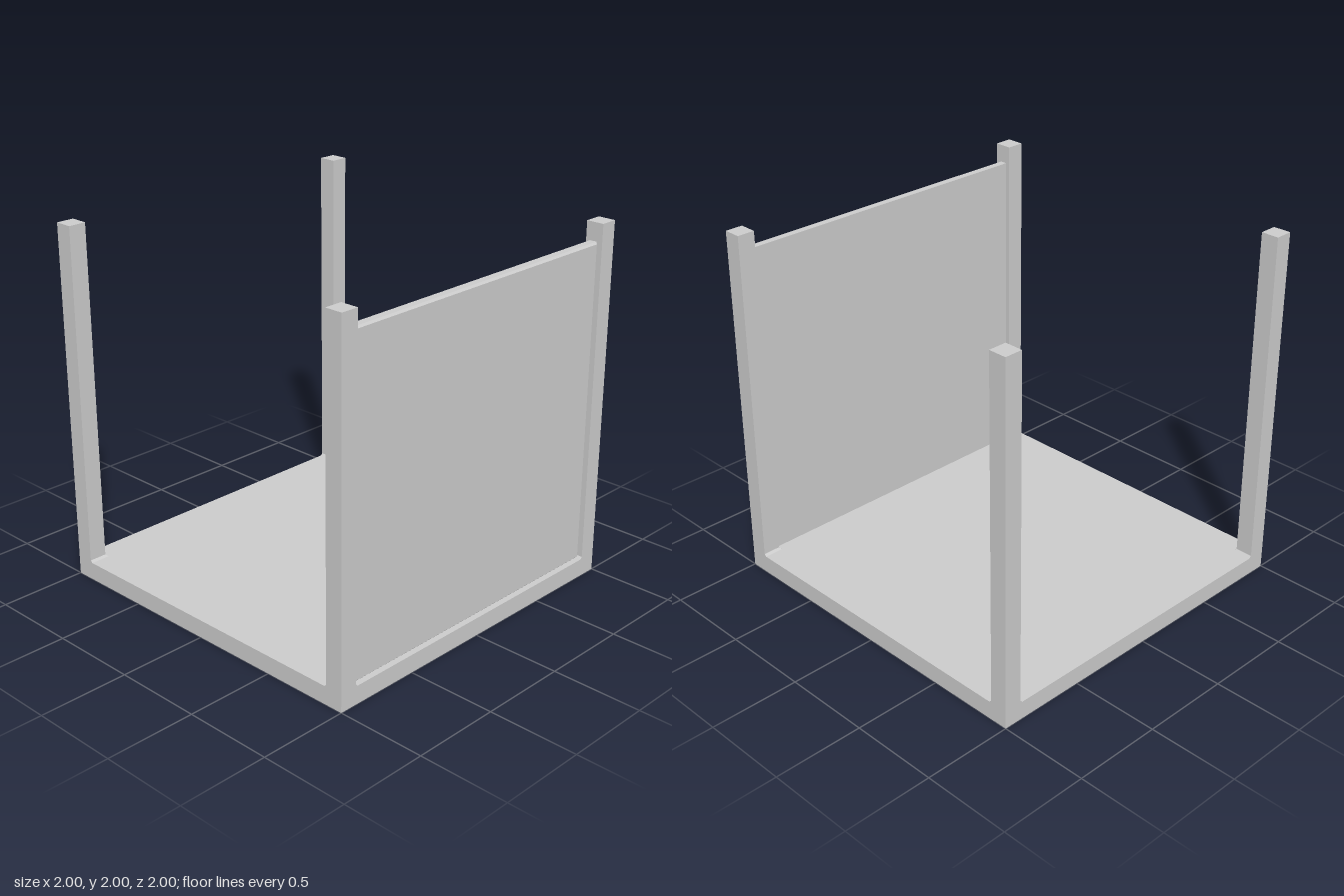
import * as THREE from 'three';

const material = new THREE.MeshStandardMaterial({ color: 0xcccccc, flatShading: true });

function addMesh(group, name, geometry) {
  geometry.computeVertexNormals();
  const mesh = new THREE.Mesh(geometry, material);
  mesh.name = name;
  group.add(mesh);
  return mesh;
}

// Square corner post whose inner faces flare slightly where they meet the floor
function postGeometry(sx, sz) {
  const geo = new THREE.BoxGeometry(0.1, 1.9, 0.1, 1, 2, 1);
  const p = geo.attributes.position;
  for (let i = 0; i < p.count; i++) {
    const y = p.getY(i);
    if (Math.abs(y) < 0.01) p.setY(i, -0.938);
    if (y < -0.9) {
      if (p.getX(i) * sx < 0) p.setX(i, -sx * 0.062);
      if (p.getZ(i) * sz < 0) p.setZ(i, -sz * 0.062);
    }
  }
  return geo;
}

// Thin panel with a fine bevel around its outer face
function panelGeometry(w, h, d, bevel) {
  const geo = new THREE.BoxGeometry(w, h, d, 1, 1, 2);
  const p = geo.attributes.position;
  for (let i = 0; i < p.count; i++) {
    const z = p.getZ(i);
    if (Math.abs(z) < 0.001) p.setZ(i, d / 2 - bevel);
    else if (z > 0) {
      p.setX(i, p.getX(i) - Math.sign(p.getX(i)) * bevel);
      p.setY(i, p.getY(i) - Math.sign(p.getY(i)) * bevel);
    }
  }
  return geo;
}

export function createModel() {
  const model = new THREE.Group();
  model.name = 'openFrame';

  // Floor slab
  addMesh(model, 'floor', new THREE.BoxGeometry(2, 0.1, 2)).position.y = 0.05;

  // Four corner posts
  for (const sx of [-1, 1]) {
    for (const sz of [-1, 1]) {
      const name = (sz > 0 ? 'front' : 'back') + (sx > 0 ? 'Left' : 'Right') + 'Post';
      addMesh(model, name, postGeometry(sx, sz)).position.set(sx * 0.95, 1.05, sz * 0.95);
    }
  }

  // Front wall panel between the posts
  addMesh(model, 'frontPanel', panelGeometry(1.8, 1.8, 0.05, 0.01)).position.set(0, 1, 0.95);

  return model;
}
